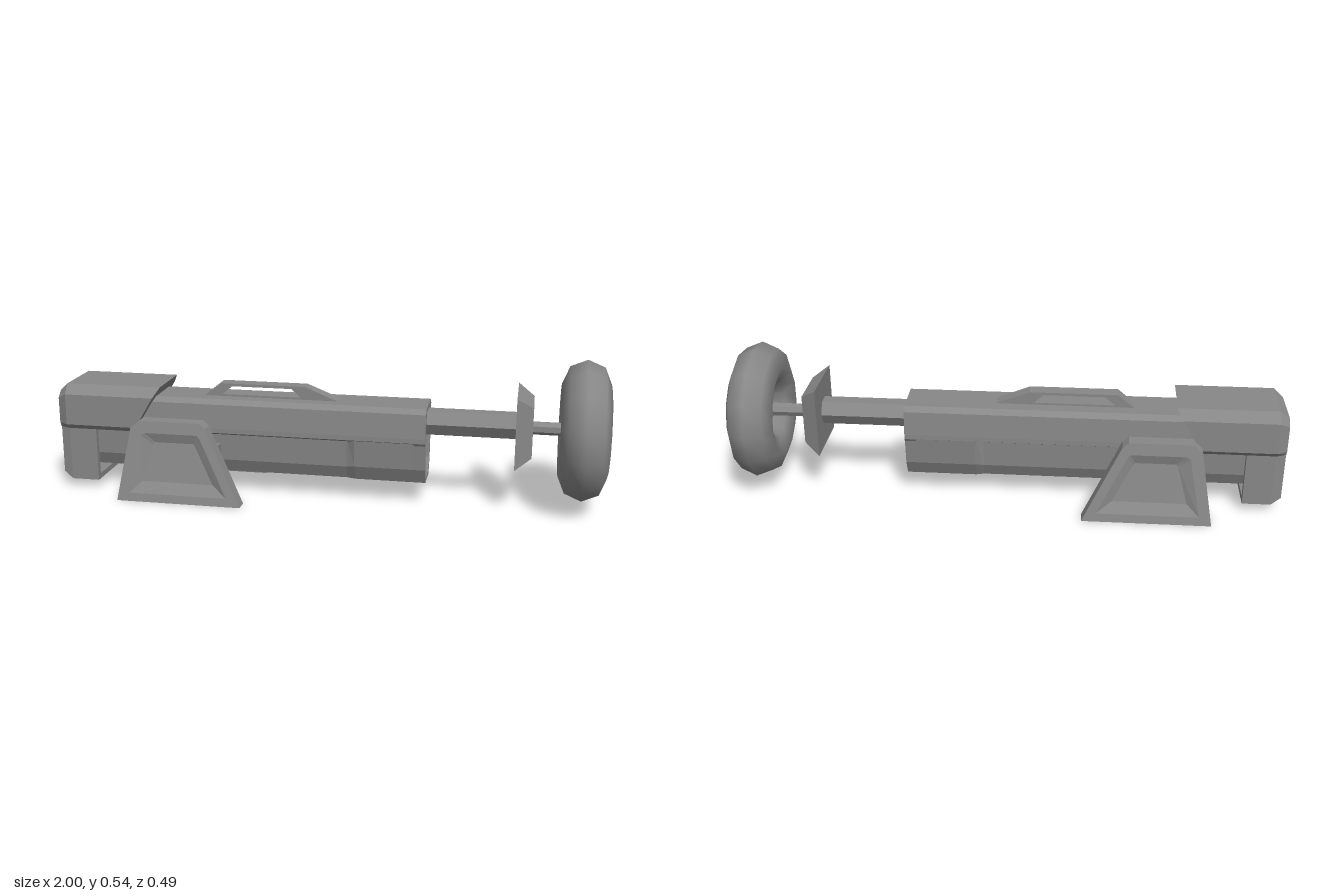
import * as THREE from 'three';

const grey = new THREE.MeshStandardMaterial({ color: 0x888888, flatShading: true });
const smooth = new THREE.MeshStandardMaterial({ color: 0x888888 });

// Skin a series of equal-length convex rings, capping both ends
function loft(rings) {
  const pos = [];
  const tri = (a, b, c) => pos.push(...a, ...b, ...c);
  for (let k = 0; k < rings.length - 1; k++) {
    const r = rings[k], s = rings[k + 1];
    r.forEach((a, i) => {
      const j = (i + 1) % r.length;
      tri(a, r[j], s[j]);
      tri(a, s[j], s[i]);
    });
  }
  const first = rings[0], last = rings[rings.length - 1];
  for (let i = 1; i < first.length - 1; i++) {
    tri(first[0], first[i + 1], first[i]);
    tri(last[0], last[i], last[i + 1]);
  }
  const g = new THREE.BufferGeometry();
  g.setAttribute('position', new THREE.Float32BufferAttribute(pos, 3));
  g.computeVertexNormals();
  return g;
}

// Mirror a half section of [z, y] points, listed from top to bottom
const mirrored = half => [...half, ...half.slice().reverse().map(([z, y]) => [-z, y])];

// Cross-section ring at x; lean pulls lower points back
const section = (x, half, lean = 0, top = 0) =>
  mirrored(half).map(([z, y]) => [x - lean * (top - y), y, z]);

// Frame with an opening, extruded along x
function frameX(half, holeHalf, x0, x1) {
  const toVec = h => mirrored(h).map(([z, y]) => new THREE.Vector2(-z, y));
  const shape = new THREE.Shape(toVec(half));
  shape.holes.push(new THREE.Path(toVec(holeHalf)));
  const g = new THREE.ExtrudeGeometry(shape, { depth: x1 - x0, bevelEnabled: false });
  return g.rotateY(Math.PI / 2).translate(x0, 0, 0);
}

// Cylinder lying along x
function rod(rBack, rFront, x0, x1, sides, turn = 0) {
  const g = new THREE.CylinderGeometry(rFront, rBack, x1 - x0, sides, 1, false, turn);
  return g.rotateZ(-Math.PI / 2).translate((x0 + x1) / 2, 0, 0);
}

export function createModel() {
  const group = new THREE.Group();
  const AXIS_Y = 0.295;
  const add = (name, geometry, y = 0, material = grey) => {
    const m = new THREE.Mesh(geometry, material);
    m.name = name;
    m.position.set(0, y, 0.003);
    group.add(m);
  };

  // Upper housing with a hollow front end
  const upper = [[0.074, 0.36], [0.093, 0.343], [0.1, 0.255], [0.1, 0.238], [0.085, 0.23]];
  add('upperHousing', loft([section(-0.8, upper), section(0.325, upper)]));
  const mouth = [[0.074, 0.36], [0.093, 0.343], [0.1, 0.255], [0.1, 0.238],
    [0.094, 0.228], [0.083, 0.135], [0.057, 0.08]];
  const mouthHole = [[0.06, 0.345], [0.082, 0.255], [0.07, 0.14], [0.047, 0.095]];
  add('frontRim', frameX(mouth, mouthHole, 0.325, 0.366));

  // Lower housing and the wider fore grip
  const lower = [[0.08, 0.24], [0.074, 0.13], [0.052, 0.082]];
  const grip = [[0.094, 0.24], [0.083, 0.135], [0.057, 0.08]];
  add('lowerHousing', loft([section(-0.88, lower), section(0.1, lower)]));
  add('foreGrip', loft([section(0.08, lower), section(0.11, grip), section(0.325, grip)]));

  // Rear cover with tapered back and raked front edge
  const cover = [[0.1, 0.4], [0.132, 0.365], [0.132, 0.25], [0.115, 0.232]];
  const coverEnd = [[0.085, 0.37], [0.11, 0.345], [0.11, 0.25], [0.1, 0.232]];
  add('rearCover', loft([
    section(-1, coverEnd), section(-0.965, cover), section(-0.608, cover, 0.6, 0.4),
  ]));

  // Butt: back plate plus a hollow frame facing forward
  const butt = [[0.106, 0.24], [0.106, 0.03]];
  const buttEnd = [[0.098, 0.24], [0.098, 0.055]];
  add('buttPlate', loft([section(-1, buttEnd), section(-0.965, butt), section(-0.93, butt)]));
  add('buttFrame', frameX(butt, [[0.085, 0.225], [0.085, 0.05]], -0.93, -0.862));

  // Carry rail on top
  const rail = new THREE.Shape([[-0.465, 0.355], [0.05, 0.355], [-0.083, 0.408], [-0.4, 0.408]]
    .map(p => new THREE.Vector2(...p)));
  rail.holes.push(new THREE.Path([[-0.392, 0.367], [-0.355, 0.398], [-0.133, 0.398], [-0.098, 0.367]]
    .map(p => new THREE.Vector2(...p))));
  add('carryRail', new THREE.ExtrudeGeometry(rail, { depth: 0.052, bevelEnabled: false })
    .translate(0, 0, -0.026));

  // Splayed feet with a shallow dished outer panel
  const outline = [[-0.745, 0], [-0.283, 0], [-0.42, 0.272], [-0.442, 0.29], [-0.668, 0.29], [-0.7, 0.265]];
  const panelEdge = [[-0.7, 0.03], [-0.335, 0.03], [-0.44, 0.238], [-0.45, 0.247], [-0.645, 0.247], [-0.66, 0.238]];
  const panelFloor = [[-0.655, 0.07], [-0.39, 0.07], [-0.46, 0.205], [-0.468, 0.212], [-0.61, 0.212], [-0.618, 0.205]];
  for (const side of [1, -1]) {
    const ring = (pts, d) => pts.map(([x, y]) => [x, y, side * (0.175 + d - 0.2 * y)]);
    const rings = [ring(outline, 0), ring(outline, 0.051), ring(panelEdge, 0.051), ring(panelFloor, 0.035)];
    add(side > 0 ? 'frontFoot' : 'backFoot', loft(side > 0 ? rings : rings.reverse()));
  }
  add('footCrossbar', new THREE.BoxGeometry(0.14, 0.11, 0.32).translate(-0.46, 0.138, 0));

  // Shaft, square collar, thin rod and hub
  add('shaft', rod(0.05, 0.05, 0.3, 0.69, 6), AXIS_Y + 0.002);
  const collar = rod(0.129 * Math.SQRT2, 0.091 * Math.SQRT2, 0.68, 0.738, 4, Math.PI / 4);
  add('collar', collar.scale(1, 1, 0.95), AXIS_Y);
  add('thinRod', rod(0.024, 0.024, 0.73, 0.89, 7, Math.PI), AXIS_Y - 0.003);
  add('hubBase', rod(0.024, 0.045, 0.87, 0.89, 7, Math.PI), AXIS_Y - 0.003);
  add('hubCap', rod(0.045, 0.021, 0.89, 0.925, 7, Math.PI), AXIS_Y - 0.003);

  // Ring wheel
  add('ringWheel', new THREE.TorusGeometry(0.165, 0.085, 8, 13).rotateY(Math.PI / 2)
    .translate(0.915, 0, 0), AXIS_Y - 0.004, smooth);

  return group;
}
